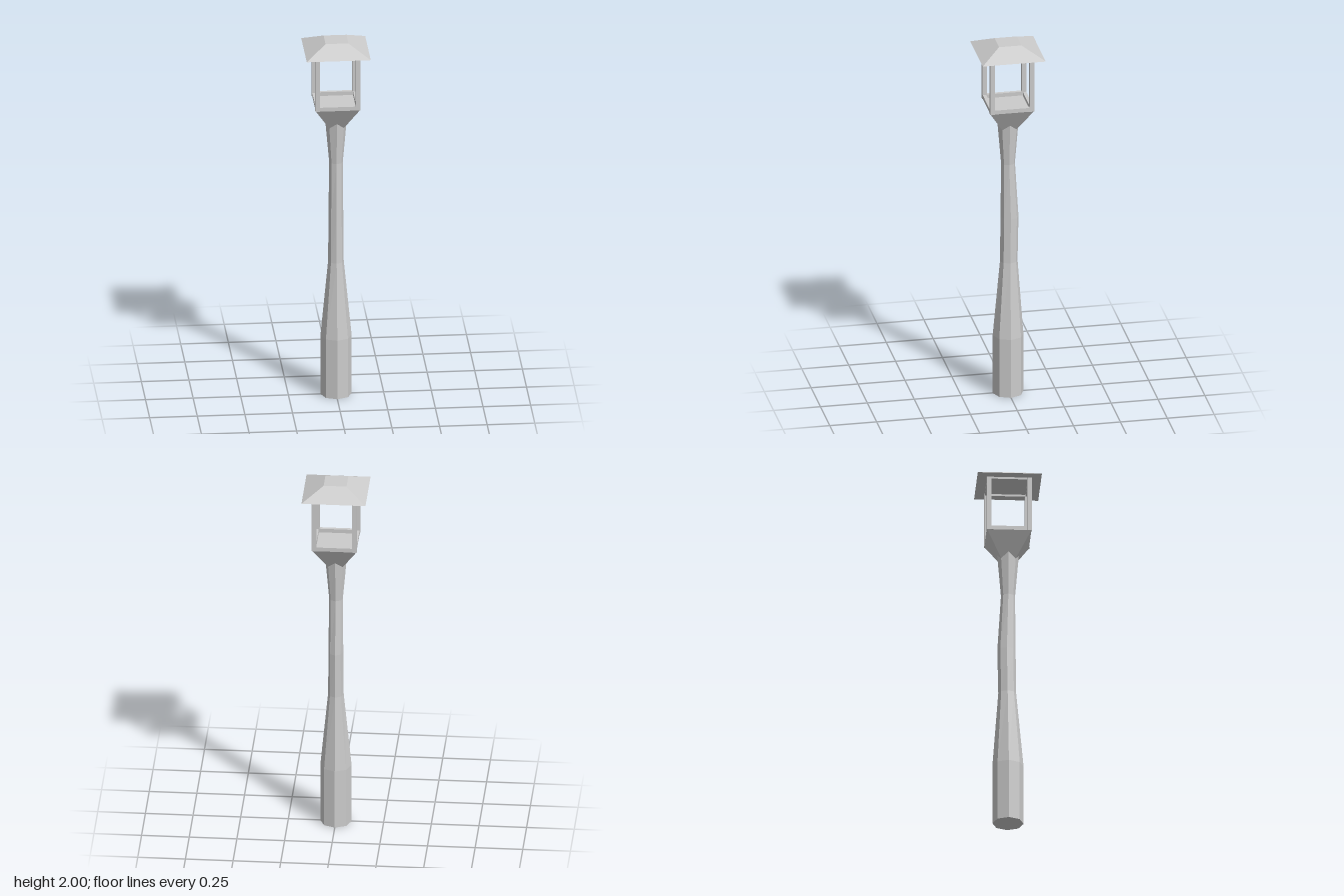
import * as THREE from 'three';

const mat = new THREE.MeshStandardMaterial({ color: 0xcccccc, flatShading: true });

function add(parent, name, geo, x = 0, y = 0, z = 0) {
  const mesh = new THREE.Mesh(geo, mat);
  mesh.name = name;
  mesh.position.set(x, y, z);
  parent.add(mesh);
  return mesh;
}

// Eight-sided shaft lofted through rings of [y, radius x, radius z, centre z]
function shaftGeometry(rings, sides = 8) {
  const pos = [], idx = [];
  for (const [y, rx, rz, cz] of rings) {
    for (let i = 0; i < sides; i++) {
      const a = (i / sides) * Math.PI * 2;
      pos.push(Math.sin(a) * rx, y, cz + Math.cos(a) * rz);
    }
  }
  for (let r = 0; r < rings.length - 1; r++) {
    for (let i = 0; i < sides; i++) {
      const j = (i + 1) % sides;
      const a = r * sides + i, b = r * sides + j, c = a + sides, d = b + sides;
      idx.push(a, b, d, a, d, c);
    }
  }
  // Closed foot
  for (let i = 1; i < sides - 1; i++) idx.push(0, i + 1, i);
  const geo = new THREE.BufferGeometry();
  geo.setAttribute('position', new THREE.Float32BufferAttribute(pos, 3));
  geo.setIndex(idx);
  const flat = geo.toNonIndexed();
  flat.computeVertexNormals();
  return flat;
}

// Square frustum given by its half widths at top and bottom
function squareFrustum(top, bottom, y0, y1) {
  const geo = new THREE.CylinderGeometry(top * Math.SQRT2, bottom * Math.SQRT2, y1 - y0, 4);
  geo.rotateY(Math.PI / 4);
  geo.translate(0, (y0 + y1) / 2, 0);
  return geo;
}

export function createModel() {
  const model = new THREE.Group();
  model.name = 'lampPost';

  // Carved post: heavy foot, slim waist, flared neck
  add(model, 'post', shaftGeometry([
    [0, 0.082, 0.082, 0],
    [0.33, 0.082, 0.082, 0],
    [0.75, 0.041, 0.047, -0.004],
    [1.0, 0.039, 0.048, -0.008],
    [1.31, 0.036, 0.037, 0],
    [1.56, 0.058, 0.058, 0],
  ]));

  // Flared square collar carrying the lantern floor
  add(model, 'collar', squareFrustum(0.116, 0.035, 1.508, 1.643));

  // Open lantern cage
  const lantern = new THREE.Group();
  lantern.name = 'lantern';
  model.add(lantern);

  const postW = 0.024, postAt = 0.106;
  for (const sx of [-1, 1]) {
    for (const sz of [-1, 1]) {
      add(lantern, 'cornerPost', new THREE.BoxGeometry(postW, 0.305, postW), sx * postAt, 1.7945, sz * postAt);
    }
  }

  // Lower and upper rails between the corner posts
  for (const [name, y, h, w] of [['lowerRail', 1.653, 0.022, 0.018], ['upperRail', 1.94, 0.012, 0.018]]) {
    for (const s of [-1, 1]) {
      const at = s * (0.116 - w / 2);
      add(lantern, name, new THREE.BoxGeometry(0.2, h, w), 0, y, at);
      add(lantern, name, new THREE.BoxGeometry(w, h, 0.2), at, y, 0);
    }
  }

  // Hipped roof with a flat top
  add(lantern, 'roof', squareFrustum(0.06, 0.168, 1.945, 2.0));

  return model;
}
